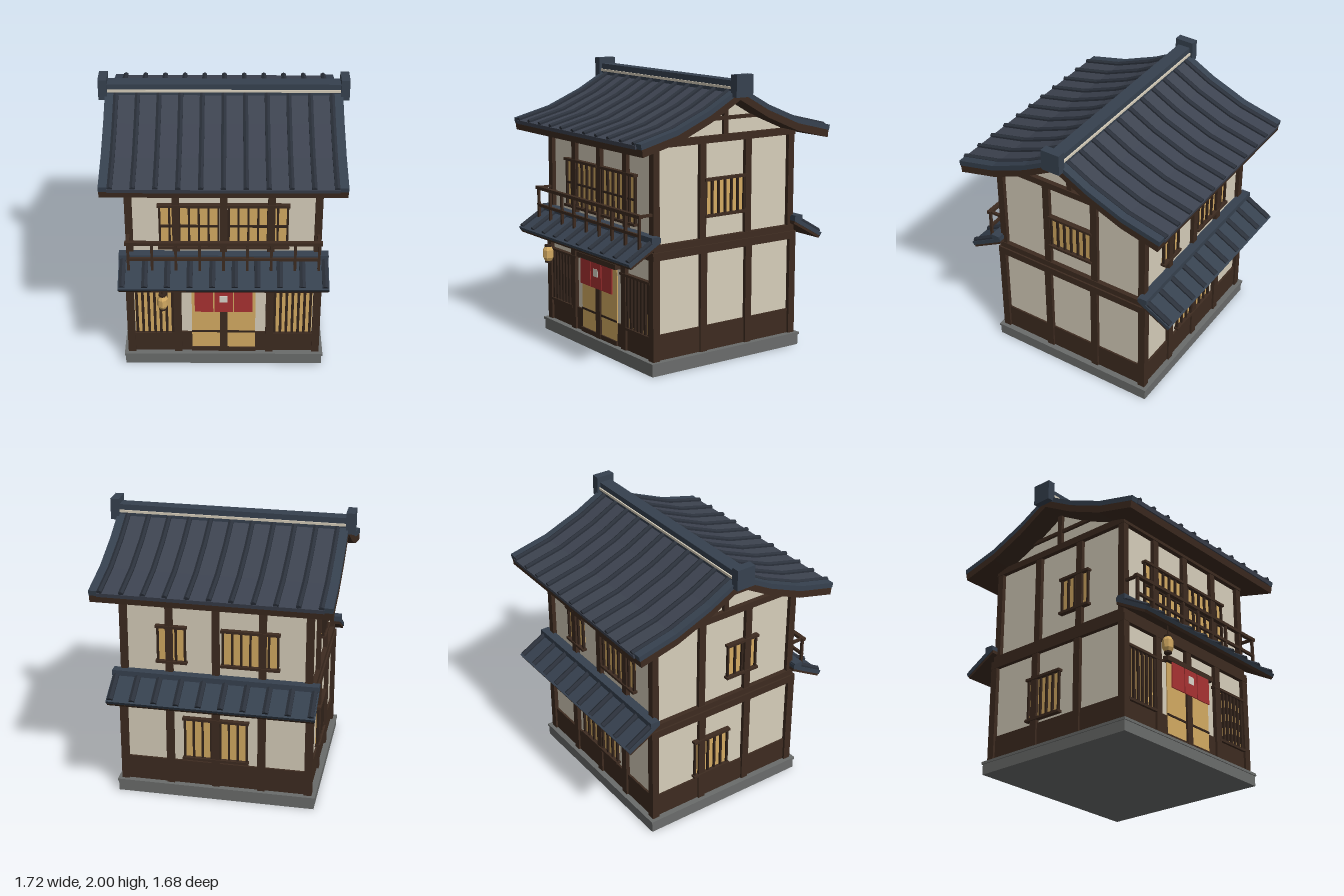
import * as THREE from 'three';

const material = (name, color) => Object.assign(new THREE.MeshStandardMaterial({ color }), { name });
const plaster = material('plaster', 0xd6cdba);
const wood = material('dark wood', 0x3d2b20);
const lattice = material('lattice wood', 0x33241b);
const paper = material('lit paper', 0xd3aa62);
const tile = material('roof tile', 0x3d4350);
const ridgeTile = material('ridge tile', 0x36414f);
const ribTile = material('rib tile', 0x2b313b);
const stone = material('stone', 0x6a6c6b);
const cloth = material('red cloth', 0xa83232);
const white = material('white emblem', 0xd9d5ca);

function add(parent, name, geo, mat) {
  const mesh = new THREE.Mesh(geo, mat);
  mesh.name = name;
  parent.add(mesh);
  return mesh;
}

// Box given by its low and high limits on each axis
function box(parent, name, mat, x0, x1, y0, y1, z0, z1) {
  const geo = new THREE.BoxGeometry(x1 - x0, y1 - y0, z1 - z0);
  geo.translate((x0 + x1) / 2, (y0 + y1) / 2, (z0 + z1) / 2);
  return add(parent, name, geo, mat);
}

function group(parent, name) {
  const g = new THREE.Group();
  g.name = name;
  parent.add(g);
  return g;
}

// Prism along x from a [z, y] outline
function prism(parent, name, mat, outline, x0, x1) {
  const shape = new THREE.Shape(outline.map(([z, y]) => new THREE.Vector2(z, y)));
  const geo = new THREE.ExtrudeGeometry(shape, { depth: x1 - x0, bevelEnabled: false });
  geo.rotateY(-Math.PI / 2).translate(x1, 0, 0);
  return add(parent, name, geo, mat);
}

// Six-sided rib between two [z, y] points at a given x
function rib(parent, x, a, b, r) {
  const p = new THREE.Vector3(x, a[1], a[0]), q = new THREE.Vector3(x, b[1], b[0]);
  const dir = q.clone().sub(p);
  const geo = new THREE.CylinderGeometry(r, r, dir.length(), 6).toNonIndexed();
  geo.computeVertexNormals();
  const mesh = add(parent, 'tileRib', geo, ribTile);
  mesh.quaternion.setFromUnitVectors(new THREE.Vector3(0, 1, 0), dir.normalize());
  mesh.position.copy(p).add(q).multiplyScalar(0.5);
}

// Barred window; local +z points out of the wall, origin at the sill centre
function barredWindow(parent, name, w, h, bars, crossbar = false) {
  const g = group(parent, name);
  box(g, 'paperPane', paper, -w / 2, w / 2, 0, h, 0, 0.008);
  for (let i = 0; i < bars; i++) {
    const x = -w / 2 + (w * i) / (bars - 1);
    box(g, 'windowBar', lattice, x - 0.007, x + 0.007, 0, h, 0.006, 0.024);
  }
  for (const y of [0, h]) box(g, 'windowRail', wood, -w / 2 - 0.015, w / 2 + 0.015, y - 0.009, y + 0.009, 0, 0.037);
  if (crossbar) box(g, 'crossBar', lattice, -w / 2, w / 2, h / 2 - 0.007, h / 2 + 0.007, 0.006, 0.022);
  return g;
}

const postX = [-0.645, -0.325, 0, 0.325, 0.645];
const postZ = [-0.58, -0.195, 0.195, 0.58];

function buildWalls(house) {
  const walls = group(house, 'walls');
  box(walls, 'lowerWall', plaster, -0.655, 0.655, 0.09, 0.84, -0.59, 0.59);
  prism(walls, 'upperWall', plaster, [[-0.575, 0.84], [0.575, 0.84], [0.575, 1.59], [0.25, 1.71],
    [0, 1.845], [-0.25, 1.71], [-0.575, 1.59]], -0.64, 0.64);

  // Wainscot, with a gap for the door at the front
  box(walls, 'wainscot', wood, -0.668, 0.668, 0.09, 0.27, -0.605, 0.58);
  for (const s of [-1, 1]) box(walls, 'frontWainscot', wood, s < 0 ? -0.668 : 0.225, s < 0 ? -0.225 : 0.668, 0.09, 0.255, 0.57, 0.603);

  const frame = group(house, 'timberFrame');
  for (const s of [-1, 1]) {
    // Front and back posts
    for (const x of postX) {
      const corner = Math.abs(x) > 0.6, lx = corner ? Math.sign(x) * 0.658 : x;
      box(frame, 'lowerPost', wood, lx - 0.027, lx + 0.027, 0.09, 0.84, s * 0.593 - 0.027, s * 0.593 + 0.027);
      box(frame, 'upperPost', wood, x - 0.025, x + 0.025, 0.84, 1.58, s * 0.58 - 0.025, s * 0.58 + 0.025);
    }
    // Side posts
    for (const z of postZ.slice(1, 3)) {
      box(frame, 'lowerSidePost', wood, s * 0.658 - 0.024, s * 0.658 + 0.024, 0.09, 0.8, z - 0.027, z + 0.027);
      box(frame, 'upperSidePost', wood, s * 0.645 - 0.024, s * 0.645 + 0.024, 0.84, 1.56, z - 0.026, z + 0.026);
    }
    // Beams
    box(frame, 'sideFloorBeam', wood, s * 0.66 - 0.027, s * 0.66 + 0.027, 0.787, 0.842, -0.62, 0.62);
    box(frame, 'sideUpperBeam', wood, s * 0.65 - 0.025, s * 0.65 + 0.025, 0.842, 0.885, -0.607, 0.607);
    box(frame, 'sideTieBeam', wood, s * 0.647 - 0.027, s * 0.647 + 0.027, 1.535, 1.583, -0.61, 0.61);
    box(frame, 'floorBeam', wood, -0.685, 0.685, 0.787, 0.842, s * 0.595 - 0.027, s * 0.595 + 0.027);
    box(frame, 'upperBeam', wood, -0.67, 0.67, 0.842, 0.885, s * 0.582 - 0.025, s * 0.582 + 0.025);
    box(frame, 'topPlate', wood, -0.67, 0.67, 1.535, 1.583, s * 0.583 - 0.027, s * 0.583 + 0.027);
    // Gable timbers
    box(frame, 'gableBeam', wood, s * 0.645 - 0.015, s * 0.645 + 0.015, 1.68, 1.705, -0.3, 0.3);
    box(frame, 'gablePost', wood, s * 0.645 - 0.02, s * 0.645 + 0.02, 1.58, 1.82, -0.019, 0.019);
  }
}

function buildMainRoof(house) {
  const roof = group(house, 'mainRoof');
  const half = [[0, 1.915], [0.25, 1.78], [0.52, 1.67], [0.81, 1.6]];
  const top = [...half.slice(1).reverse().map(([z, y]) => [-z, y]), ...half];
  const layer = (d0, d1, k) => [
    ...top.map(([z, y]) => [z * k, y - d0]),
    ...top.map(([z, y]) => [z * (k - 0.008), y - d1]).reverse()];
  prism(roof, 'roofBoards', wood, layer(0.036, 0.087, 0.98), -0.815, 0.815);
  prism(roof, 'roofTiles', tile, layer(0.012, 0.04, 1.004), -0.76, 0.76);
  for (const s of [-1, 1]) prism(roof, 'gableEdgeTiles', ridgeTile, layer(0, 0.037, 0.993), s * 0.783 - 0.033, s * 0.783 + 0.033);
  for (let i = -5; i <= 5; i++) {
    for (const s of [-1, 1]) {
      for (let j = 0; j < 3; j++) {
        const at = ([z, y]) => [s * z, y - 0.008];
        rib(roof, i * 0.148, at(half[j]), at(half[j + 1]), 0.02);
      }
    }
  }
  box(roof, 'ridgeBase', ridgeTile, -0.8, 0.8, 1.86, 1.905, -0.05, 0.05);
  box(roof, 'ridgePlasterLine', plaster, -0.8, 0.8, 1.9, 1.917, -0.056, 0.056);
  box(roof, 'ridgeCap', ridgeTile, -0.81, 0.81, 1.915, 1.957, -0.046, 0.046);
  for (const s of [-1, 1]) box(roof, 'ridgeEnd', ridgeTile, s * 0.83 - 0.03, s * 0.83 + 0.03, 1.85, 2, -0.07, 0.07);
}

// Lean-to roof between floors, front and back
function buildLowerRoof(house, s) {
  const roof = group(house, s > 0 ? 'frontLowerRoof' : 'backLowerRoof');
  const flip = pts => pts.map(([z, y]) => [s * z, y]);
  prism(roof, 'lowerRoofTiles', ridgeTile, flip([[0.58, 0.95], [0.838, 0.805], [0.824, 0.781], [0.58, 0.918]]), -0.72, 0.72);
  prism(roof, 'lowerRoofBoards', wood, flip([[0.58, 0.92], [0.826, 0.783], [0.815, 0.767], [0.58, 0.898]]), -0.715, 0.715);
  for (let i = 0; i < 10; i++) rib(roof, -0.692 + i * 0.1538, [s * 0.61, 0.934], [s * 0.825, 0.811], 0.024);
  box(roof, 'lowerRoofCap', ridgeTile, -0.72, 0.72, 0.918, 0.957, s * 0.62 - 0.032, s * 0.62 + 0.032);
}

function buildEntrance(house) {
  const door = group(house, 'entrance');
  for (const s of [-1, 1]) {
    box(door, 'doorPanel', paper, s * 0.125 - 0.1, s * 0.125 + 0.1, 0.12, 0.65, 0.596, 0.604);
    const shopWindow = group(door, 'latticeWindow');
    box(shopWindow, 'paperPane', paper, s * 0.487 - 0.14, s * 0.487 + 0.14, 0.25, 0.625, 0.59, 0.597);
    for (let i = 0; i < 7; i++) {
      const x = s * 0.487 + (i - 3) * 0.042;
      box(shopWindow, 'latticeBar', lattice, x - 0.009, x + 0.009, 0.25, 0.625, 0.594, 0.612);
    }
    box(shopWindow, 'latticeHead', wood, s * 0.465 - 0.18, s * 0.465 + 0.18, 0.62, 0.637, 0.59, 0.624);
    box(shopWindow, 'latticeSill', wood, s * 0.487 - 0.15, s * 0.487 + 0.15, 0.24, 0.258, 0.59, 0.622);
  }
  box(door, 'doorSill', wood, -0.23, 0.23, 0.09, 0.125, 0.58, 0.615);
  box(door, 'doorRail', lattice, -0.225, 0.225, 0.258, 0.272, 0.6, 0.61);
  box(door, 'doorLintel', wood, -0.25, 0.25, 0.645, 0.682, 0.59, 0.635);
  for (const x of [-0.138, 0, 0.138]) box(door, 'doorCurtain', cloth, x - 0.065, x + 0.065, 0.46, 0.65, 0.625, 0.633);
  box(door, 'curtainEmblem', white, -0.027, 0.027, 0.545, 0.6, 0.632, 0.637);
}

function buildWindows(house) {
  // [name, x, y, z, turn, width, height, bars, crossbar]
  const list = [
    ['frontWindow', -0.235, 0.99, 0.575, 0, 0.4, 0.337, 7, true],
    ['frontWindow', 0.235, 0.99, 0.575, 0, 0.4, 0.337, 7, true],
    ['leftWindow', 0.64, 1.035, 0, Math.PI / 2, 0.33, 0.25, 7],
    ['rightUpperWindow', -0.64, 1.03, 0.15, -Math.PI / 2, 0.24, 0.26, 5],
    ['rightLowerWindow', -0.655, 0.3, -0.11, -Math.PI / 2, 0.28, 0.3, 6],
    ['backSmallWindow', 0.31, 1.03, -0.575, Math.PI, 0.19, 0.26, 4],
    ['backLargeWindow', -0.24, 1.03, -0.575, Math.PI, 0.38, 0.26, 7],
    ['backLowerWindow', 0, 0.3, -0.59, Math.PI, 0.44, 0.31, 8],
  ];
  for (const [name, x, y, z, turn, w, h, bars, cross] of list) {
    const g = barredWindow(house, name, w, h, bars, cross);
    g.position.set(x, y, z);
    g.rotation.y = turn;
  }
}

function buildBalcony(house) {
  const rail = group(house, 'balconyRailing');
  box(rail, 'topRail', wood, -0.67, 0.67, 1.083, 1.106, 0.69, 0.72);
  box(rail, 'middleRail', wood, -0.66, 0.66, 0.957, 0.977, 0.697, 0.715);
  for (let i = -4; i <= 4; i++) box(rail, 'railPost', wood, i * 0.1625 - 0.009, i * 0.1625 + 0.009, 0.87, 1.09, 0.696, 0.714);
  for (const s of [-1, 1]) box(rail, 'sideRail', wood, s * 0.65 - 0.01, s * 0.65 + 0.01, 1.086, 1.104, 0.6, 0.7);
}

function buildLantern(house) {
  const lantern = group(house, 'lantern');
  const profile = [[0, 0.6], [0.025, 0.6], [0.038, 0.625], [0.038, 0.68], [0.025, 0.705], [0, 0.705]];
  const body = new THREE.LatheGeometry(profile.map(p => new THREE.Vector2(...p)), 8).toNonIndexed();
  body.computeVertexNormals();
  add(lantern, 'lanternBody', body, paper);
  for (const y of [0.595, 0.711]) add(lantern, 'lanternCap', new THREE.CylinderGeometry(0.026, 0.026, 0.014, 8).translate(0, y, 0), lattice);
  add(lantern, 'lanternCord', new THREE.CylinderGeometry(0.005, 0.005, 0.1, 6).translate(0, 0.765, 0), lattice);
  lantern.position.set(-0.42, 0, 0.77);
}

export function createModel() {
  const house = new THREE.Group();
  house.name = 'townhouse';
  box(house, 'foundation', stone, -0.705, 0.705, 0, 0.076, -0.64, 0.64);
  box(house, 'foundationLip', stone, -0.712, 0.712, 0.074, 0.092, -0.647, 0.647);
  buildWalls(house);
  buildEntrance(house);
  buildWindows(house);
  buildMainRoof(house);
  for (const s of [1, -1]) buildLowerRoof(house, s);
  buildBalcony(house);
  buildLantern(house);
  return house;
}
